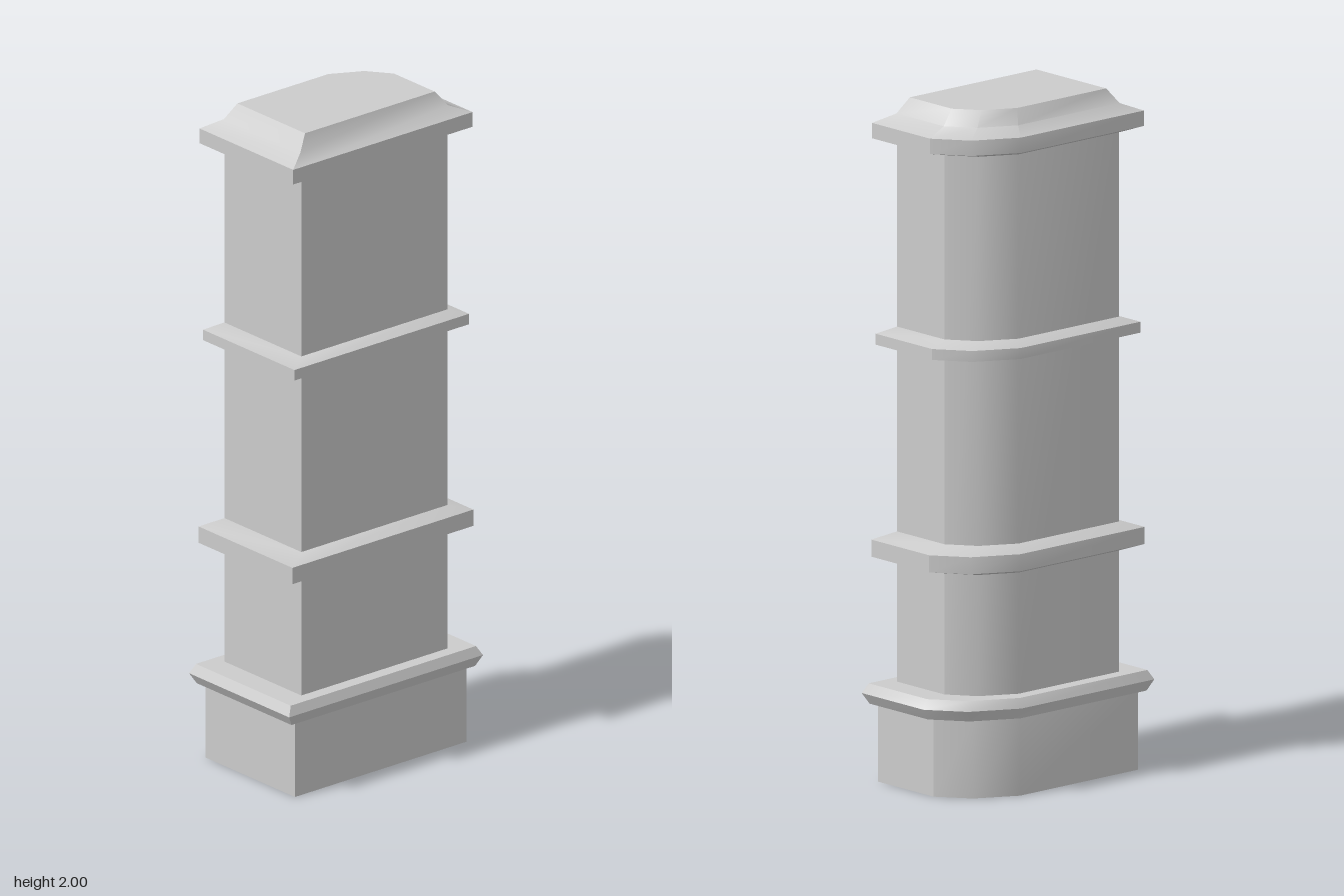
import * as THREE from 'three';
import { toCreasedNormals } from 'three/addons/utils/BufferGeometryUtils.js';

// Unit plan outline [x, z]: a rectangle with one faceted, rounded back corner
const PLAN = [[1, -1], [-0.2, -1], [-0.67, -0.787], [-1, -0.405], [-1, 1], [1, 1]];

// Half-sizes [x, z] shared by neighbouring parts
const SHAFT = [0.168, 0.273];
const PLINTH = [0.196, 0.321];
const CENTRE = [0, 0];

const material = new THREE.MeshStandardMaterial({ color: 0xcccccc });

// Skins the plan through a list of levels [y, [halfX, halfZ]], bottom to top
function loft(name, levels) {
  const positions = [];
  const corner = ([y, [sx, sz]], i) => {
    const [px, pz] = PLAN[i % PLAN.length];
    return [px * sx, y, pz * sz];
  };
  for (let l = 0; l < levels.length - 1; l++) {
    const low = levels[l], high = levels[l + 1];
    for (let i = 0; i < PLAN.length; i++) {
      const a = corner(low, i), b = corner(low, i + 1);
      const c = corner(high, i + 1), d = corner(high, i);
      // Rings that shrink to the centre need only one triangle per side
      if (low[1] !== CENTRE) positions.push(...a, ...b, ...c);
      if (high[1] !== CENTRE) positions.push(...a, ...c, ...d);
    }
  }
  const geometry = new THREE.BufferGeometry();
  geometry.setAttribute('position', new THREE.Float32BufferAttribute(positions, 3));
  const mesh = new THREE.Mesh(toCreasedNormals(geometry, THREE.MathUtils.degToRad(35)), material);
  mesh.name = name;
  return mesh;
}

// Moulding wrapped round the shaft, with bevelled underside and top
function band(name, y0, y1, y2, y3, size) {
  return loft(name, [[y0, SHAFT], [y1, size], [y2, size], [y3, SHAFT]]);
}

export function createModel() {
  const pillar = new THREE.Group();
  pillar.name = 'pillar';
  pillar.add(
    // Block base, closed underneath
    loft('plinth', [[0, CENTRE], [0, PLINTH], [0.23, PLINTH]]),
    // Rounded lip with a flat ledge running in to the shaft
    loft('plinthLip', [
      [0.23, PLINTH], [0.23, [0.207, 0.343]], [0.262, [0.219, 0.362]],
      [0.29, [0.207, 0.346]], [0.29, SHAFT],
    ]),
    loft('shaft', [[0.29, SHAFT], [1.87, SHAFT]]),
    band('lowerBand', 0.645, 0.66, 0.71, 0.73, [0.205, 0.338]),
    band('upperBand', 1.272, 1.28, 1.312, 1.33, [0.2, 0.326]),
    // Cap with a concave slope up to the flat top
    loft('cap', [
      [1.87, SHAFT], [1.885, [0.205, 0.335]], [1.93, [0.205, 0.335]],
      [1.955, [0.167, 0.276]], [2, [0.148, 0.242]], [2, CENTRE],
    ]),
  );
  return pillar;
}
